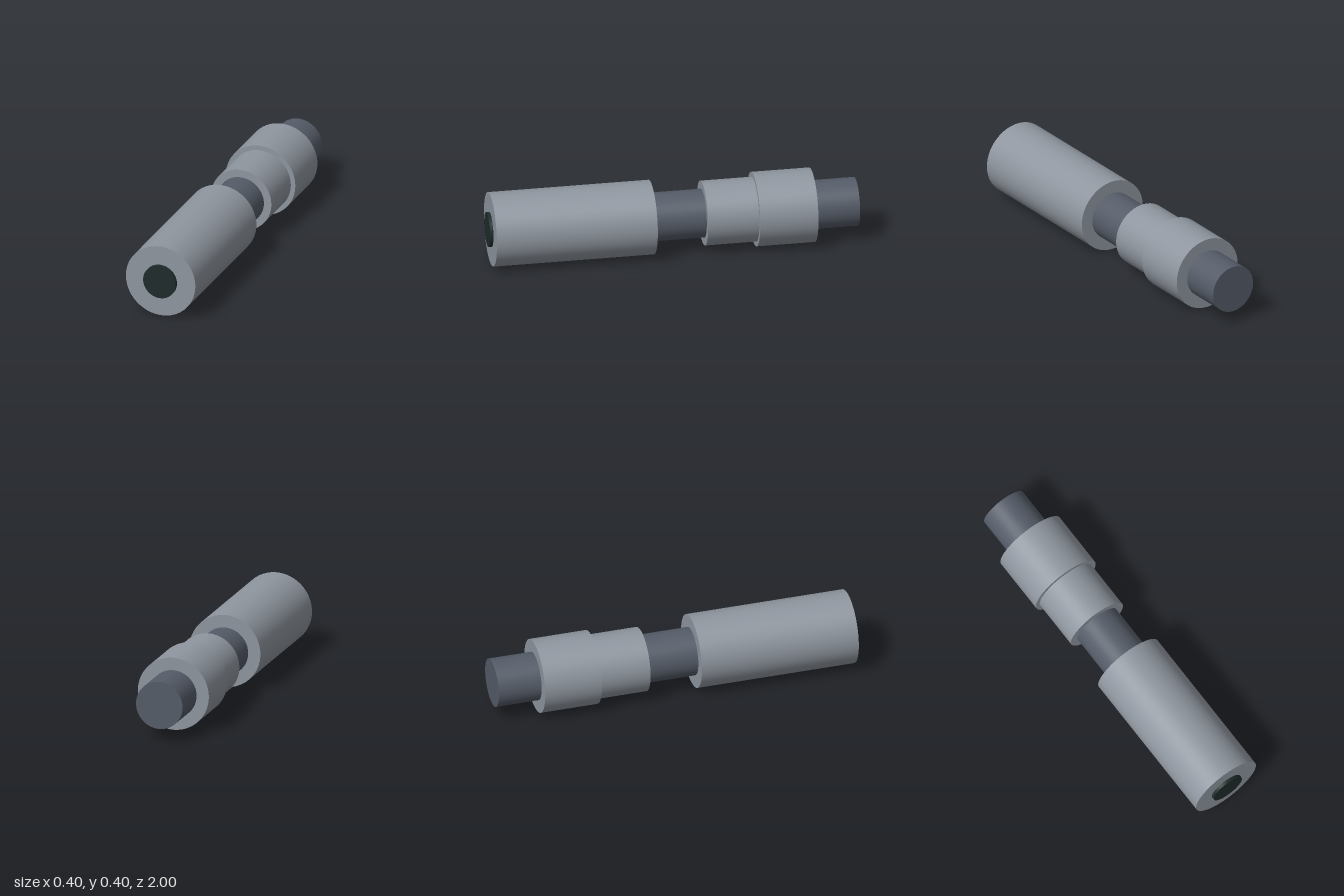
import * as THREE from 'three';

const AXIS_Y = 0.2;

export function createModel() {
  const model = new THREE.Group();
  model.name = 'flashlight';

  const casing = new THREE.MeshStandardMaterial({ name: 'casing grey', color: 0x8f969f });
  const shaft = new THREE.MeshStandardMaterial({ name: 'dark steel', color: 0x555c68 });
  const glass = new THREE.MeshStandardMaterial({ name: 'dark glass', color: 0x1f2b2b });

  // Capped cylinder along z, from its back end to its front end
  function addCylinder(name, radius, back, front, material) {
    const geometry = new THREE.CylinderGeometry(radius, radius, front - back, 64);
    geometry.rotateX(Math.PI / 2);
    const mesh = new THREE.Mesh(geometry, material);
    mesh.name = name;
    mesh.position.set(0, AXIS_Y, (front + back) / 2);
    model.add(mesh);
  }

  addCylinder('lens', 0.094, 0.97, 1, glass);
  addCylinder('frontBarrel', 0.2, 0.11, 0.983, casing);
  // One core runs through the sleeves and shows between and behind them
  addCylinder('core', 0.131, -1, 0.13, shaft);
  addCylinder('innerCollar', 0.174, -0.46, -0.168, casing);
  addCylinder('rearCollar', 0.2, -0.762, -0.446, casing);

  return model;
}
